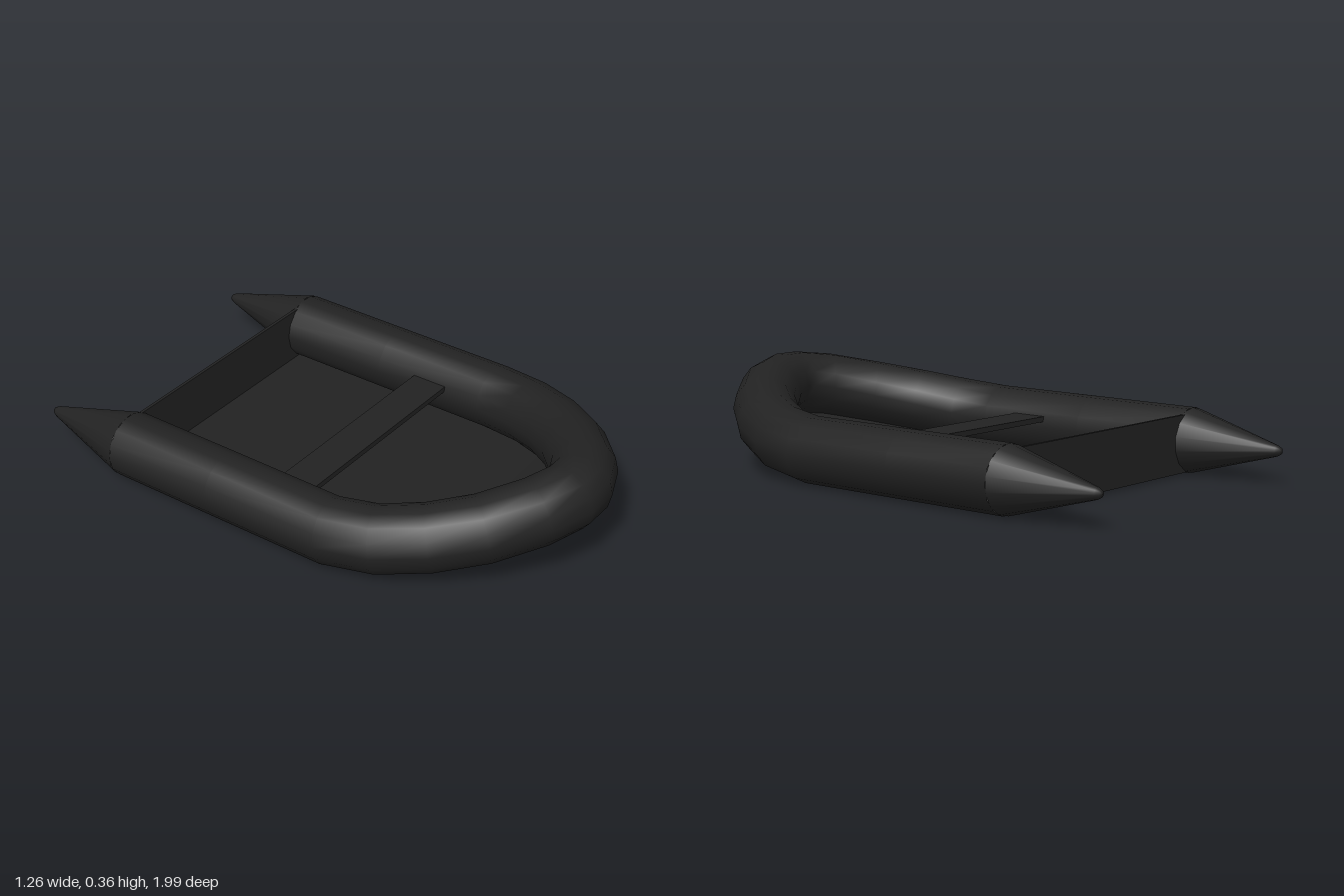
import * as THREE from 'three';

const SIDES = 14, R = 0.118;

// Half of the tube centre line, from stern to bow: x, y, z
const half = [
  [0.512, 0.121, -0.63], [0.512, 0.121, -0.2], [0.512, 0.121, 0.25],
  [0.477, 0.137, 0.42], [0.4, 0.165, 0.575], [0.29, 0.197, 0.715],
  [0.15, 0.232, 0.83], [0.04, 0.246, 0.877],
].map(p => new THREE.Vector3(...p));

// Surface through rows of equally many points
function loft(rows) {
  const n = rows[0].length, index = [];
  for (let i = 0; i < rows.length - 1; i++)
    for (let j = 0; j < n - 1; j++) {
      const a = i * n + j, b = a + n;
      index.push(a, b, a + 1, a + 1, b, b + 1);
    }
  const g = new THREE.BufferGeometry().setFromPoints(rows.flat());
  g.setIndex(index);
  g.computeVertexNormals();
  // Share the normals along the seam of closed rings
  const nor = g.attributes.normal;
  if (rows[0][0].distanceTo(rows[0][n - 1]) < 1e-6)
    for (let i = 0; i < rows.length; i++) {
      const a = new THREE.Vector3().fromBufferAttribute(nor, i * n);
      a.add(new THREE.Vector3().fromBufferAttribute(nor, i * n + n - 1)).normalize();
      nor.setXYZ(i * n, a.x, a.y, a.z);
      nor.setXYZ(i * n + n - 1, a.x, a.y, a.z);
    }
  return g;
}

// Ring of points around a centre, square to the direction of travel
function ring(centre, dir, radius) {
  const side = new THREE.Vector3().crossVectors(dir, new THREE.Vector3(0, 1, 0)).normalize();
  const up = new THREE.Vector3().crossVectors(side, dir).normalize();
  return Array.from({ length: SIDES + 1 }, (_, j) => {
    const t = (j / SIDES) * Math.PI * 2;
    return centre.clone()
      .addScaledVector(side, Math.cos(t) * radius)
      .addScaledVector(up, Math.sin(t) * radius);
  });
}

export function createModel() {
  const boat = new THREE.Group();
  boat.name = 'inflatableBoat';
  const rubber = new THREE.MeshStandardMaterial({ color: 0x222222, side: THREE.DoubleSide });
  rubber.name = 'black rubber';
  const add = (name, geometry, x = 0, y = 0, z = 0) => {
    const m = new THREE.Mesh(geometry, rubber);
    m.name = name;
    m.position.set(x, y, z);
    boat.add(m);
    return m;
  };

  // Horseshoe tube
  const mirrored = half.map(p => new THREE.Vector3(-p.x, p.y, p.z)).reverse();
  const path = [...half, ...mirrored];
  const rings = path.map((p, i) => {
    const prev = path[Math.max(i - 1, 0)], next = path[Math.min(i + 1, path.length - 1)];
    const d0 = p.clone().sub(prev).normalize(), d1 = next.clone().sub(p).normalize();
    return ring(p, d0.add(d1).normalize(), R);
  });
  add('tube', loft(rings.map(r => r.reverse())));

  // Tapered stern cones with blunt tips
  for (const s of [1, -1]) {
    const cone = new THREE.LatheGeometry([
      new THREE.Vector2(R, 0), new THREE.Vector2(0.02, 0.352),
      new THREE.Vector2(0.012, 0.367), new THREE.Vector2(0, 0.37),
    ], SIDES);
    cone.rotateX(-Math.PI / 2);
    add(s > 0 ? 'leftSternCone' : 'rightSternCone', cone, s * 0.512, 0.121, -0.63);
  }

  // Floor sheet, rising along the underside of the bow
  const floorRows = half.map(p => {
    const y = p.y - 0.107;
    return [new THREE.Vector3(-p.x, y, p.z), new THREE.Vector3(p.x, y, p.z)];
  });
  add('floor', loft(floorRows));

  // Transom board and bench seat
  add('transom', new THREE.BoxGeometry(0.926, 0.208, 0.012), 0, 0.116, -0.631);
  add('seat', new THREE.BoxGeometry(0.84, 0.02, 0.137), 0, 0.15, 0.026);

  return boat;
}
